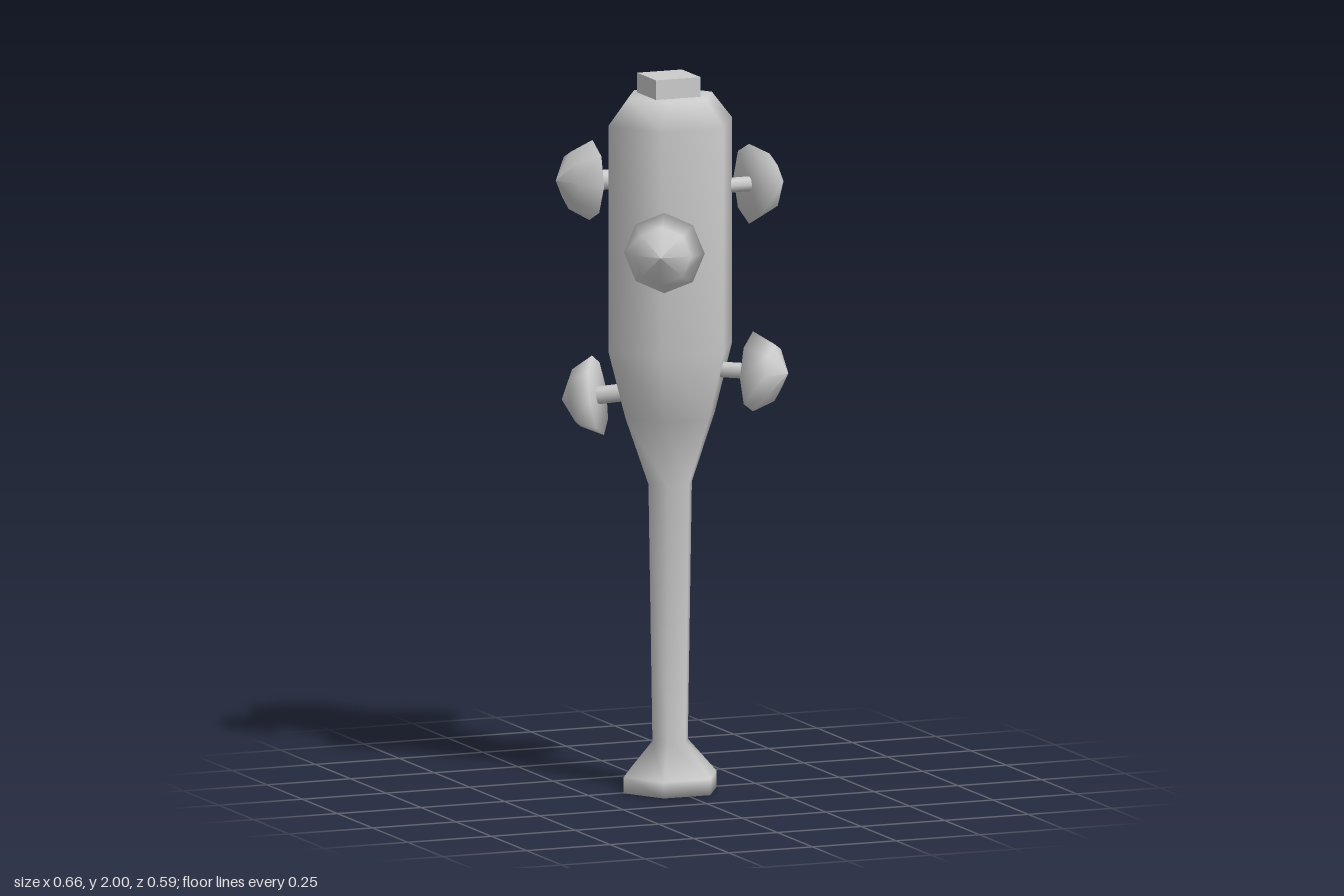
import * as THREE from 'three';

const material = new THREE.MeshStandardMaterial({ color: 0xcccccc });

function part(name, geometry) {
  const mesh = new THREE.Mesh(geometry, material);
  mesh.name = name;
  return mesh;
}

// Turned solid from [radius, height] pairs, listed from bottom to top
function turned(points, sides, start = 0) {
  return new THREE.LatheGeometry(points.map(([r, y]) => new THREE.Vector2(r, y)), sides, start);
}

// Mushroom-headed stud; its own +z points away from the club
function makeStud(stemRadius) {
  const stud = new THREE.Group();
  stud.name = 'stud';
  const dome = turned([[0, 0], [0.112, 0], [0.08, 0.062], [0, 0.103]], 8);
  stud.add(part('studHead', dome.rotateX(Math.PI / 2)));
  const stem = new THREE.CylinderGeometry(stemRadius, stemRadius, 0.11, 8);
  stud.add(part('studStem', stem.rotateX(Math.PI / 2).translate(0, 0, -0.05)));
  return stud;
}

export function createModel() {
  const club = new THREE.Group();
  club.name = 'studdedClub';
  const cx = -0.008, cz = 0.007;

  // Six-sided shaft: flared pommel, slim grip, thick striking end
  const shaft = part('shaft', turned([
    [0, 0], [0.139, 0], [0.139, 0.045], [0.053, 0.14], [0.065, 0.86],
    [0.134, 1.05], [0.185, 1.24], [0.185, 1.87], [0.125, 1.945], [0, 1.945],
  ], 6, Math.PI / 2));
  shaft.position.set(cx, 0, cz);
  club.add(shaft);

  // Square block on the tip
  const tip = part('tipBlock', new THREE.BoxGeometry(0.134, 0.08, 0.134));
  tip.position.set(cx - 0.002, 1.96, cz - 0.004);
  club.add(tip);

  // Studs: centre of the head's base, outward direction, stem radius
  const studs = [
    [[0.228, 1.68, 0.007], [1, 0, 0], 0.021],
    [[-0.228, 1.715, -0.033], [-1, 0.04, -0.066], 0.028],
    [[-0.16, 1.09, -0.145], [-0.81, -0.15, -0.56], 0.025],
    [[-0.107, 1.54, 0.201], [-0.477, 0.03, 0.879], 0.024],
    [[0.066, 1.465, -0.2], [0.341, 0, -0.94], 0.024],
    [[0.172, 1.185, 0.168], [0.747, 0, 0.665], 0.022],
  ];
  for (const [base, direction, stemRadius] of studs) {
    const stud = makeStud(stemRadius);
    stud.position.set(...base);
    stud.lookAt(new THREE.Vector3(...direction).add(stud.position));
    club.add(stud);
  }
  return club;
}
